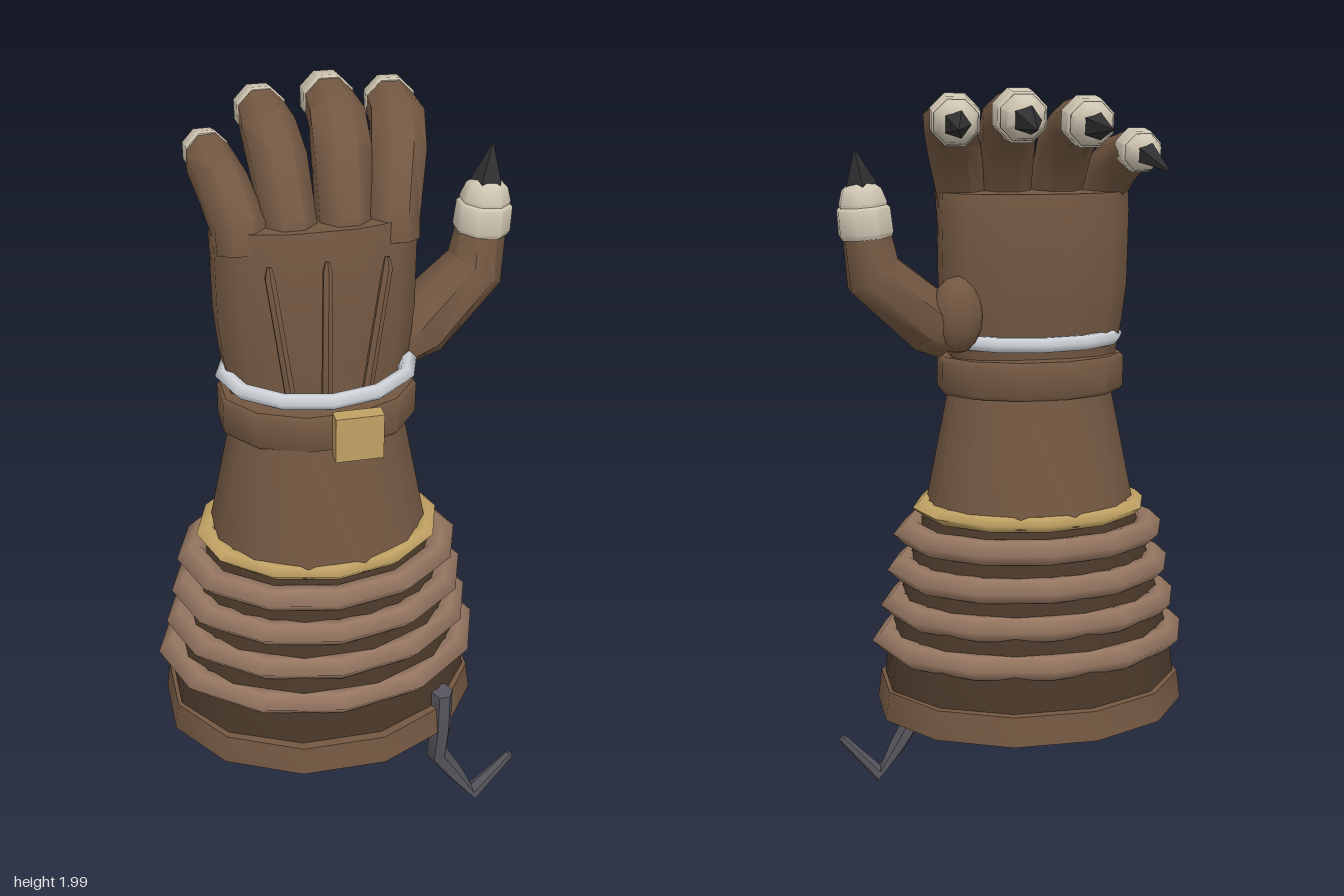
import * as THREE from 'three';
import { toCreasedNormals } from 'three/addons/utils/BufferGeometryUtils.js';

const CX = -0.04, CZ = 0.097; // axis of the sleeve

function paint(name, color) {
  const m = new THREE.MeshStandardMaterial({ color });
  m.name = name;
  return m;
}

export function createModel() {
  const leather = paint('leather', 0x735842);
  const darkLeather = paint('dark leather', 0x4a382a);
  const cord = paint('padded cord', 0x957661);
  const gold = paint('gold', 0xc0a163);
  const silver = paint('silver', 0xced2d8);
  const bone = paint('bone', 0xcfc5b2);
  const claw = paint('claw', 0x303032);
  const steel = paint('steel', 0x57555d);
  const lining = paint('lining', 0x0d0d30);
  lining.side = THREE.DoubleSide;

  const model = new THREE.Group();
  model.name = 'clawedGauntlet';

  const add = (name, geometry, material, parent = model) => {
    const mesh = new THREE.Mesh(geometry, material);
    mesh.name = name;
    parent.add(mesh);
    return mesh;
  };

  // Twelve-sided elliptical turning around the sleeve axis; profile runs upward
  const turned = (name, profile, depth, material, { z = CZ, start = Math.PI / 12, crease = 0.75 } = {}) => {
    const pts = profile.map(([r, y]) => new THREE.Vector2(r, y));
    const g = new THREE.LatheGeometry(pts, 12, start);
    g.scale(1, 1, depth);
    g.translate(CX, 0, z);
    add(name, toCreasedNormals(g, crease), material);
  };

  // Soft ring with a pointed six-sided section of width w and half height h
  const ring = (name, r, y, w, h, depth, material) => turned(name, [
    [r - w, y], [r - w * 0.75, y - h], [r - w * 0.4, y - h], [r, y],
    [r - w * 0.4, y + h], [r - w * 0.75, y + h], [r - w, y],
  ], depth, material, { start: 0, crease: 1.6 });

  // Capped loft through sections [x, y, z, radius across, radius deep]
  const limb = (name, sections, side, sides, material, parent, power = 1) => {
    const c = sections.map((s) => new THREE.Vector3(s[0], s[1], s[2]));
    const pos = [], idx = [];
    const last = c.length - 1;
    const bend = (v) => Math.sign(v) * Math.abs(v) ** power;
    sections.forEach((s, i) => {
      const t = c[Math.min(i + 1, last)].clone().sub(c[Math.max(i - 1, 0)]).normalize();
      const u = side.clone().addScaledVector(t, -side.dot(t)).normalize();
      const v = t.clone().cross(u);
      for (let j = 0; j < sides; j++) {
        const a = (j + 0.5) / sides * Math.PI * 2;
        const p = c[i].clone().addScaledVector(u, s[3] * bend(Math.cos(a)))
          .addScaledVector(v, (s[4] ?? s[3]) * bend(Math.sin(a)));
        pos.push(p.x, p.y, p.z);
      }
    });
    const n = sections.length * sides;
    pos.push(...c[0].toArray(), ...c[last].toArray());
    for (let j = 0; j < sides; j++) {
      const k = (j + 1) % sides;
      for (let i = 0; i < last; i++) {
        const a = i * sides + j, b = i * sides + k;
        idx.push(a, b, a + sides, b, b + sides, a + sides);
      }
      idx.push(n, k, j, n + 1, last * sides + j, last * sides + k);
    }
    const g = new THREE.BufferGeometry();
    g.setAttribute('position', new THREE.Float32BufferAttribute(pos, 3));
    g.setIndex(idx);
    add(name, toCreasedNormals(g, 0.85), material, parent);
  };

  const X = new THREE.Vector3(1, 0, 0), Z = new THREE.Vector3(0, 0, 1);

  // Sleeve
  turned('cuff', [[0.385, 0.322], [0.433, 0.32], [0.422, 0.4], [0.385, 0.4]], 0.823, leather);
  turned('lowerSleeve', [[0.415, 0.37], [0.398, 0.5], [0.372, 0.6], [0.312, 0.82], [0.28, 0.9]], 0.785, darkLeather);
  turned('upperSleeve', [[0.29, 0.88], [0.22, 1.22]], 0.86, leather);
  turned('cuffLining', [[0, 0.42], [0.36, 0.42], [0.39, 0.323]], 0.823, lining);

  [[0.442, 0.52], [0.416, 0.62], [0.397, 0.72], [0.378, 0.82]]
    .forEach(([r, y]) => ring('paddedRing', r, y, 0.085, 0.032, 0.77, cord));
  ring('goldRing', 0.323, 0.892, 0.055, 0.02, 0.82, gold);

  // Wrist
  turned('wristBand', [[0, 1.21], [0.246, 1.21], [0.254, 1.22], [0.254, 1.3], [0.246, 1.31], [0, 1.31]],
    0.76, leather, { z: 0.09 });
  ring('silverRing', 0.257, 1.355, 0.045, 0.019, 0.8, silver);
  add('buckle', new THREE.BoxGeometry(0.12, 0.12, 0.04), gold).position.set(0.02, 1.262, 0.295);

  // Hand
  limb('palm', [
    [CX, 1.3, 0.073, 0.225, 0.117], [CX, 1.4, 0.067, 0.242, 0.125], [CX, 1.5, 0.06, 0.252, 0.133],
    [CX, 1.69, 0.055, 0.254, 0.13], [CX, 1.74, 0.053, 0.252, 0.122],
  ], X, 12, leather, model, 0.82);
  [[-0.175, -0.125], [-0.038, -0.038], [0.105, 0.06]].forEach(([top, bottom]) =>
    limb('tendon', [[bottom, 1.31, 0.205, 0.014], [top, 1.66, 0.212, 0.013], [top, 1.685, 0.207, 0.006]],
      X, 6, leather));

  // Bone cap in two overlapping bands, with a claw; a to b is its axis
  const fingertip = (parent, a, b, tip, r, clawRadius, side) => {
    const at = (t, radius) => [...a.map((v, i) => v + (b[i] - v) * t), radius];
    limb('boneBand', [at(0, r), at(0.08, r * 1.08), at(0.52, r * 1.05), at(0.58, r * 0.9)], side, 8, bone, parent);
    limb('boneTip', [at(0.5, r * 0.92), at(0.62, r * 0.95), at(0.86, r * 0.78), at(0.98, r * 0.45)], side, 8, bone, parent);
    limb('claw', [at(0.75, clawRadius), at(0.97, clawRadius), [...tip, 0.001]], side, 5, claw, parent);
  };

  // Fingers: base x, tip x, tip height, cap start z, cap end z, claw tip, cap radius
  [
    [-0.222, -0.262, 1.85, -0.11, -0.21, [-0.29, 1.8, -0.335], 0.052],
    [-0.104, -0.118, 1.92, -0.17, -0.285, [-0.127, 1.9, -0.415], 0.06],
    [0.028, 0.05, 1.935, -0.17, -0.315, [0.058, 1.9, -0.445], 0.062],
    [0.145, 0.2, 1.925, -0.155, -0.27, [0.23, 1.9, -0.4], 0.06],
  ].forEach(([x0, x1, y, z0, z1, tip, r]) => {
    const finger = new THREE.Group();
    finger.name = 'finger';
    model.add(finger);
    const rise = y - 1.7, mx = x0 + (x1 - x0) * 0.6;
    limb('fingerLeather', [
      [x0, 1.68, 0.1, 0.066, 0.066], [x0, 1.73, 0.088, 0.068, 0.074],
      [mx, 1.7 + rise * 0.72, 0.0, r + 0.013, 0.071],
      [x1, y - 0.012, -0.09, r + 0.01, r + 0.003], [x1, y, z0 - 0.03, r],
    ], X, 8, leather, finger);
    fingertip(finger, [x1, y, z0], [x1 + (tip[0] - x1) * 0.4, y - 0.015, z1], tip, r, r * 0.56, X);
  });

  // Thumb with its rounded pad on the palm
  const thumb = new THREE.Group();
  thumb.name = 'thumb';
  model.add(thumb);
  limb('thumbLeather', [
    [0.185, 1.365, 0.03, 0.08, 0.065], [0.235, 1.405, 0.028, 0.1, 0.087],
    [0.388, 1.538, -0.002, 0.078, 0.078], [0.405, 1.66, -0.012, 0.062, 0.062],
  ], Z, 8, leather, thumb);
  const pad = add('thumbPad', new THREE.SphereGeometry(1, 10, 8), leather, thumb);
  pad.position.set(0.175, 1.43, -0.022);
  pad.scale.set(0.07, 0.1, 0.06);
  fingertip(thumb, [0.403, 1.63, -0.012], [0.415, 1.77, -0.015], [0.43, 1.85, -0.035], 0.067, 0.04, Z);

  // Hook hanging from the cuff
  limb('hook', [
    [0.254, 0.445, 0.335, 0.033, 0.029], [0.254, 0.32, 0.335, 0.033, 0.03],
    [0.254, 0.205, 0.312, 0.033, 0.03], [0.31, 0.115, 0.308, 0.03, 0.024],
    [0.37, 0.027, 0.308, 0.026, 0.025], [0.475, 0.148, 0.306, 0.012, 0.012],
  ], Z, 6, steel);

  return model;
}
